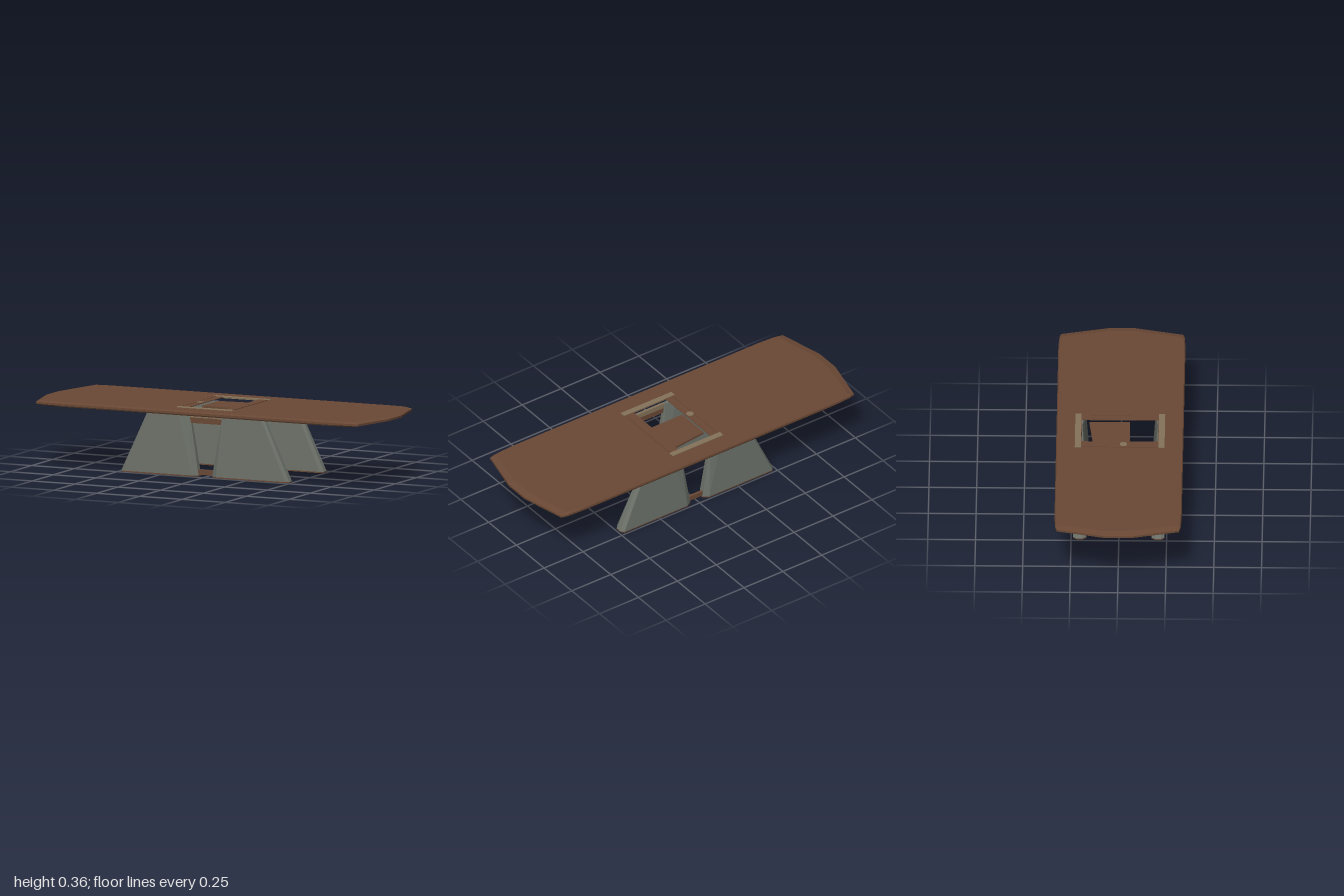
import * as THREE from 'three';
import { ConvexGeometry } from 'three/addons/geometries/ConvexGeometry.js';

const material = (name, color) => {
  const m = new THREE.MeshStandardMaterial({ color });
  m.name = name;
  return m;
};

// Flat outline given as [x, z] corners
const outline = (pts, Type = THREE.Shape) => new Type(pts.map(([x, z]) => new THREE.Vector2(x, -z)));
const rectangle = (w, d) => [[-w, -d], [w, -d], [w, d], [-w, d]];

function slab(shape, height, steps = 1) {
  const g = new THREE.ExtrudeGeometry(shape, { depth: height, steps, bevelEnabled: false });
  g.rotateX(-Math.PI / 2);
  return g;
}

// Long top with pointed ends, bevelled rim and a central opening
function tabletopGeometry() {
  const quarter = [[1, 0.07], [0.94, 0.32], [0.91, 0.328], [0.82, 0.333]];
  const half = [...quarter, ...quarter.slice().reverse().map(([x, z]) => [-x, z])];
  const shape = outline([...half, ...half.slice().reverse().map(([x, z]) => [x, -z])]);
  shape.holes.push(outline(rectangle(0.103, 0.2), THREE.Path));
  const g = slab(shape, 3, 3);
  const levels = [
    { y: 0.335, sx: 0.968, sz: 0.99 },
    { y: 0.341, sx: 1, sz: 1 },
    { y: 0.352, sx: 1, sz: 1 },
    { y: 0.36, sx: 0.962, sz: 0.985 },
  ];
  const p = g.attributes.position;
  for (let i = 0; i < p.count; i++) {
    const { y, sx, sz } = levels[Math.round(p.getY(i))];
    const rim = Math.abs(p.getX(i)) > 0.5;
    p.setXYZ(i, p.getX(i) * (rim ? sx : 1), y, p.getZ(i) * (rim ? sz : 1));
  }
  g.computeVertexNormals();
  return g;
}

// Eight-sided leg section at height y, chamfered at its inner and outer ends
function legSection(y, inner, outer, innerCut, outerCut, depth, tip) {
  return [1, -1].flatMap((s) => [
    [inner, tip], [inner + innerCut, depth], [outer - outerCut, depth], [outer, tip],
  ].map(([x, z]) => new THREE.Vector3(x, y, s * z)));
}

export function createModel() {
  const model = new THREE.Group();
  model.name = 'table';
  const wood = material('brown wood', 0x6a4835);
  const stone = material('grey stone', 0x6c7169);
  const tan = material('tan trim', 0x84735a);

  const add = (name, geometry, mat, x = 0, y = 0, z = 0, parent = model) => {
    const mesh = new THREE.Mesh(geometry, mat);
    mesh.name = name;
    mesh.position.set(x, y, z);
    parent.add(mesh);
    return mesh;
  };
  const box = (w, h, d) => new THREE.BoxGeometry(w, h, d);

  add('tabletop', tabletopGeometry(), wood);

  // Panel partly filling the opening
  const panel = outline([[-0.103, -0.14], [0.103, -0.162], [0.103, 0.052], [-0.103, 0.052]]);
  add('openingPanel', slab(panel, 0.012), wood, 0, 0.337, 0);

  // Raised frame around the opening
  for (const s of [1, -1]) {
    add('frameEnd', box(0.325, 0.008, 0.032), tan, 0, 0.359, s * 0.219);
    add('frameSide', box(0.042, 0.004, 0.406), wood, s * 0.125, 0.36, 0);
    add('frameEdge', box(0.01, 0.007, 0.406), wood, s * 0.152, 0.3595, 0);
  }
  add('framePeg', new THREE.CylinderGeometry(0.02, 0.02, 0.003, 12), tan, -0.13, 0.362, 0.02);

  // Two trestles, each a pair of tapered legs joined by rails
  const legGeometry = new ConvexGeometry([
    ...legSection(0.006, 0.04, 0.49, 0.03, 0.014, 0.0345, 0.016),
    ...legSection(0.337, 0.095, 0.335, 0.065, 0.014, 0.018, 0.008),
  ]);
  const soleGeometry = new ConvexGeometry([
    ...legSection(0, 0.04, 0.49, 0.03, 0.014, 0.0345, 0.016),
    ...legSection(0.006, 0.04, 0.49, 0.03, 0.014, 0.0345, 0.016),
  ]);
  for (const s of [1, -1]) {
    const trestle = new THREE.Group();
    trestle.name = s > 0 ? 'frontTrestle' : 'backTrestle';
    trestle.position.z = s * 0.205;
    model.add(trestle);
    for (const side of [1, -1]) {
      const turn = side > 0 ? 0 : Math.PI;
      add('leg', legGeometry, stone, 0, 0, 0, trestle).rotation.y = turn;
      add('sole', soleGeometry, wood, 0, 0, 0, trestle).rotation.y = turn;
    }
    add('upperRail', box(0.21, 0.03, 0.014), wood, 0, 0.295, 0.003 * s, trestle);
    add('upperRailTrim', box(0.21, 0.027, 0.014), tan, 0, 0.3225, 0.003 * s, trestle);
    add('lowerRail', box(0.1, 0.026, 0.014), wood, 0, 0.022, 0.003 * s, trestle);
  }
  return model;
}
